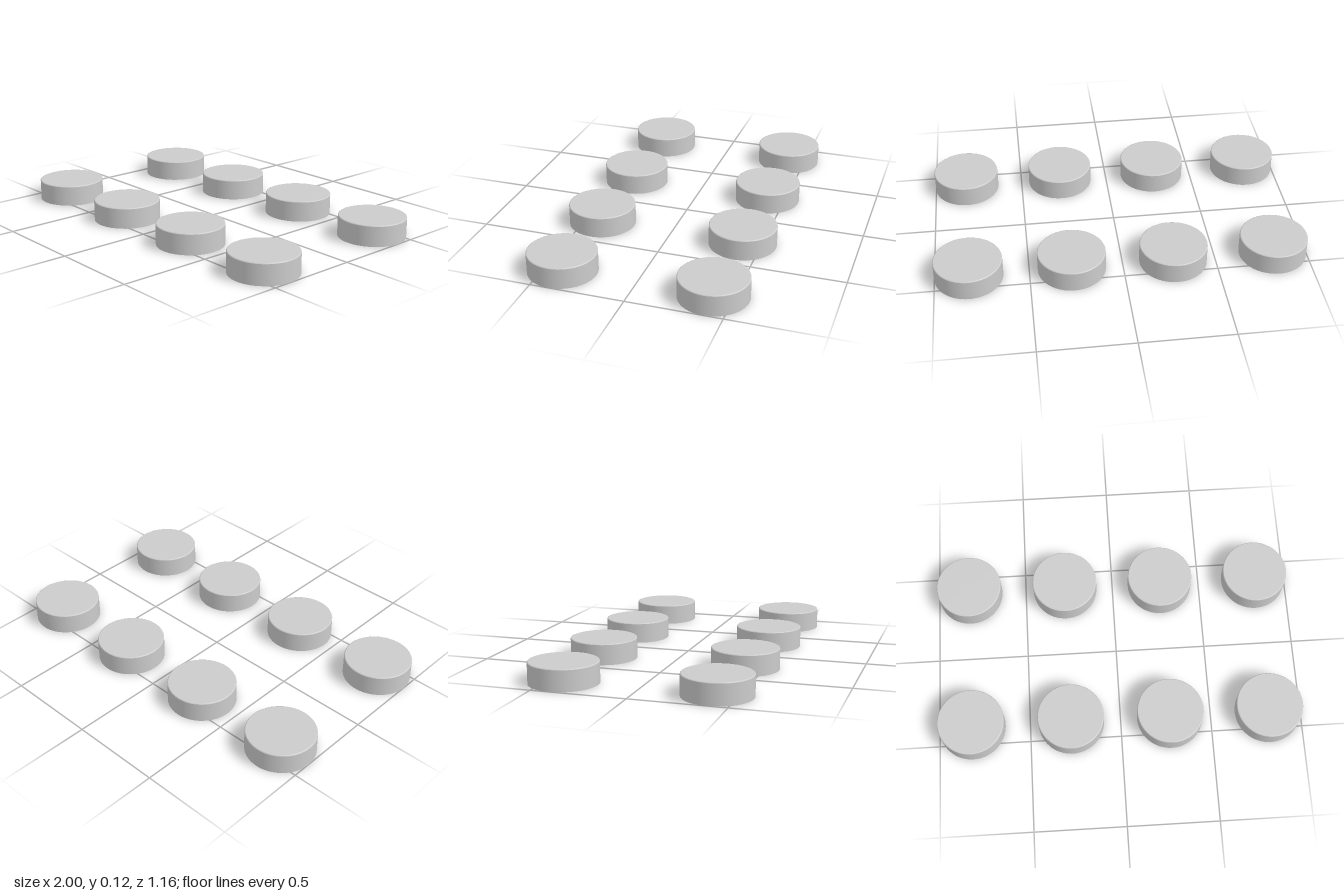
import * as THREE from 'three';

const RADIUS = 0.182, HEIGHT = 0.115, BEVEL = 0.005;

// Half section of one disc; doubled points keep the edges crisp
function discGeometry() {
  const profile = [
    [0, 0], [RADIUS, 0], [RADIUS, 0],
    [RADIUS, HEIGHT - BEVEL], [RADIUS, HEIGHT - BEVEL],
    [RADIUS - BEVEL * 0.3, HEIGHT - BEVEL * 0.3],
    [RADIUS - BEVEL, HEIGHT], [RADIUS - BEVEL, HEIGHT], [0, HEIGHT],
  ].map(([x, y]) => new THREE.Vector2(x, y));
  return new THREE.LatheGeometry(profile, 64);
}

export function createModel() {
  const model = new THREE.Group();
  model.name = 'discSet';
  const material = new THREE.MeshStandardMaterial({ color: 0xcccccc });
  const geometry = discGeometry();

  // Two rows of four discs
  for (const [rowName, z] of [['front', 0.4], ['back', -0.4]]) {
    const row = new THREE.Group();
    row.name = `${rowName}Row`;
    for (let i = 0; i < 4; i++) {
      const disc = new THREE.Mesh(geometry, material);
      disc.name = `${rowName}Disc${i + 1}`;
      disc.position.set((i - 1.5) * RADIUS * 3, 0, z);
      row.add(disc);
    }
    model.add(row);
  }
  return model;
}
